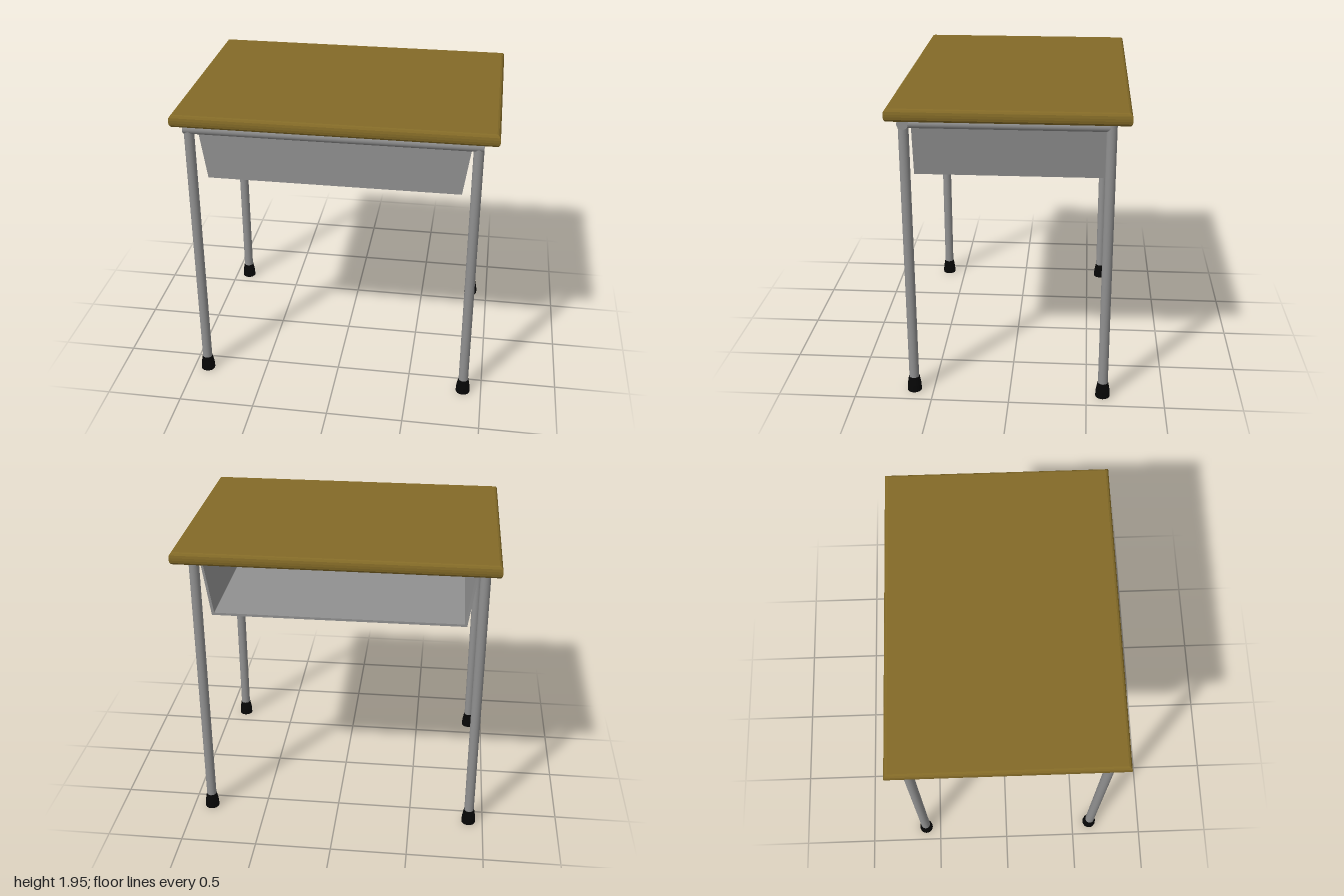
import * as THREE from 'three';

const grey = new THREE.MeshStandardMaterial({ color: 0x909090 });
const wood = new THREE.MeshStandardMaterial({ color: 0x836a27 });
const black = new THREE.MeshStandardMaterial({ color: 0x060606 });

// Leg centre lines: the frame sits slightly off centre under the top
const LEFT = 0.878, RIGHT = -0.905, FRONT = 0.627, BACK = -0.606;
const TUBE = 0.032, BAR_Y = 1.832, TOP_Y = 1.868;

function part(parent, name, geometry, material) {
  const mesh = new THREE.Mesh(geometry, material);
  mesh.name = name;
  parent.add(mesh);
  return mesh;
}

// Straight round tube between two points
function tube(parent, name, from, to, radius) {
  const a = new THREE.Vector3(...from), b = new THREE.Vector3(...to);
  const dir = b.clone().sub(a);
  const mesh = part(parent, name, new THREE.CylinderGeometry(radius, radius, dir.length(), 20), grey);
  mesh.position.copy(a).add(b).multiplyScalar(0.5);
  mesh.quaternion.setFromUnitVectors(new THREE.Vector3(0, 1, 0), dir.normalize());
}

function polygon(Type, points) {
  return new Type(points.map(([x, y]) => new THREE.Vector2(x, y)));
}

export function createModel() {
  const desk = new THREE.Group();
  desk.name = 'schoolDesk';

  // Wooden top with a rounded edge and mitred corners
  const inset = 0.022, round = 0.032, w = 1 - inset, d = 0.722 - inset;
  const topShape = polygon(THREE.Shape, [[-w, -d], [w, -d], [w, d], [-w, d]]);
  const topGeometry = new THREE.ExtrudeGeometry(topShape, {
    depth: 0.08 - 2 * round, bevelEnabled: true, bevelSize: inset, bevelThickness: round, bevelSegments: 3,
  });
  topGeometry.rotateX(-Math.PI / 2).translate(0, TOP_Y + round, 0);
  part(desk, 'tabletop', topGeometry, wood);

  // Legs with flared rubber feet
  const footProfile = [[0, 0], [0.047, 0], [0.047, 0.012], [0.045, 0.045], [0.035, 0.1], [0, 0.1]]
    .map(([r, y]) => new THREE.Vector2(r, y));
  for (const [side, x] of [['left', LEFT], ['right', RIGHT]]) {
    for (const [end, z] of [['Front', FRONT], ['Back', BACK]]) {
      const top = end === 'Front' ? BAR_Y + 0.01 : TOP_Y;
      tube(desk, side + end + 'Leg', [x, 0.08, z], [x, top, z], TUBE);
      const foot = part(desk, side + end + 'Foot', new THREE.LatheGeometry(footProfile, 16).toNonIndexed(), black);
      foot.geometry.computeVertexNormals();
      foot.position.set(x, 0, z);
    }
    tube(desk, side + 'Rail', [x, BAR_Y, FRONT], [x, BAR_Y, BACK], 0.031);
  }
  tube(desk, 'frontRail', [RIGHT - TUBE, BAR_Y, FRONT], [LEFT + TUBE, BAR_Y, FRONT], 0.035);

  // Book tray: tapered sleeve open at the back
  const tray = new THREE.Group();
  tray.name = 'bookTray';
  desk.add(tray);
  const mid = -0.011, floor = 1.479, wall = 0.016;
  const section = (t) => [
    [mid - 0.803 + t, floor + t], [mid + 0.803 - t, floor + t],
    [mid + 0.859 - t, TOP_Y - t], [mid - 0.859 + t, TOP_Y - t],
  ];
  const sleeve = polygon(THREE.Shape, section(0));
  sleeve.holes.push(polygon(THREE.Path, section(wall).reverse()));
  const trayBack = -0.587, trayFront = 0.588;
  part(tray, 'traySleeve', new THREE.ExtrudeGeometry(sleeve, {
    depth: trayFront - wall - trayBack, bevelEnabled: false,
  }), grey).position.z = trayBack;
  part(tray, 'trayFrontPanel', new THREE.ExtrudeGeometry(polygon(THREE.Shape, section(0)), {
    depth: wall, bevelEnabled: false,
  }), grey).position.z = trayFront - wall;

  return desk;
}
